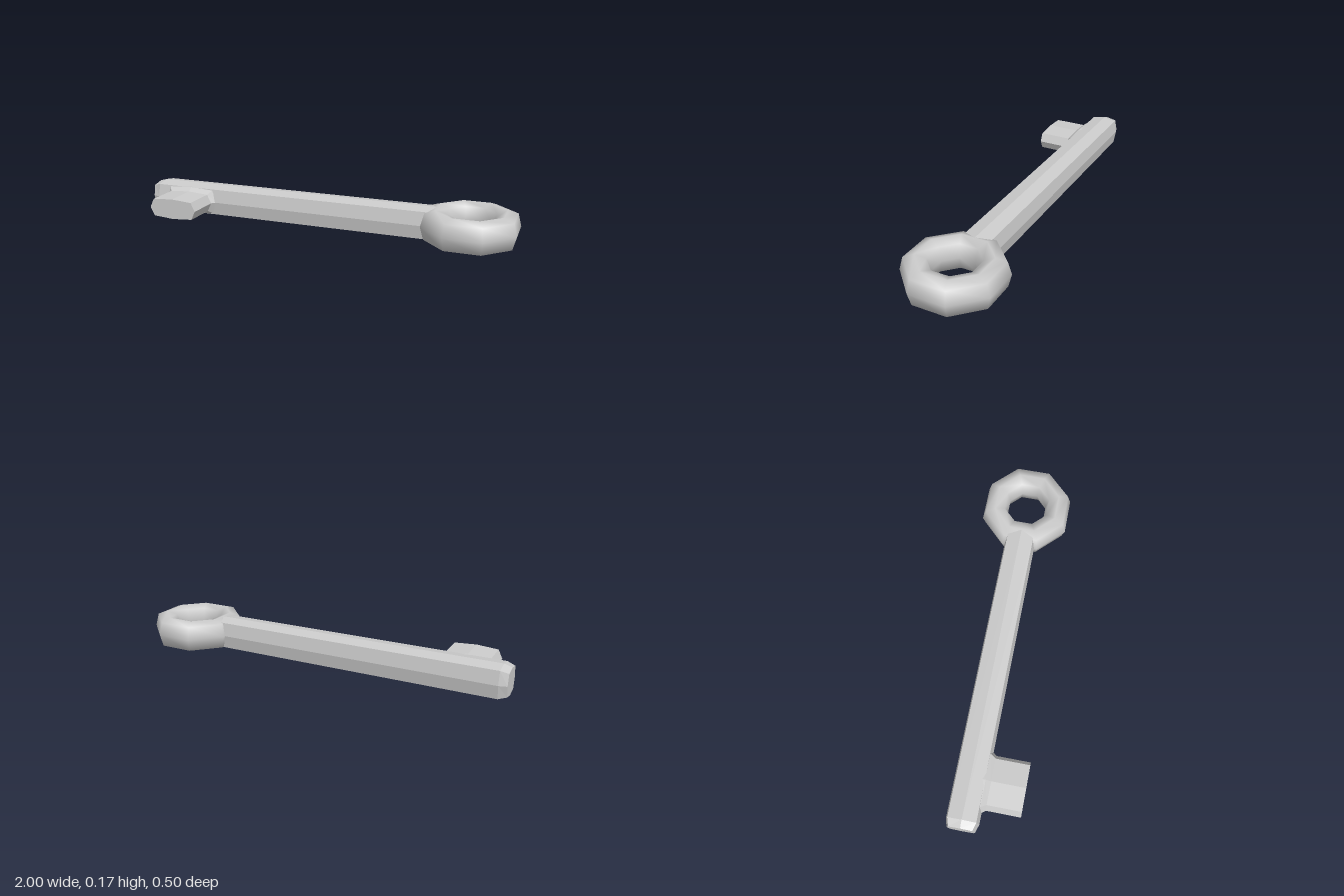
import * as THREE from 'three';
import { mergeVertices } from 'three/addons/utils/BufferGeometryUtils.js';

const MID_Y = 0.084;
const AXIS_Z = -0.022;

// Eight-sided outline, counter-clockwise: points on the axes (ax, ay) and at the corners (cx, cy)
function octagon(ax, ay, cx, cy) {
  return [[ax, 0], [cx, cy], [0, ay], [-cx, cy], [-ax, 0], [-cx, -cy], [0, -ay], [cx, -cy]];
}

// Joins outlines placed along z into a closed solid
function loft(sections) {
  const n = sections[0].outline.length;
  const positions = [];
  const index = [];
  for (const { z, outline } of sections) {
    for (const [x, y] of outline) positions.push(x, y, z);
  }
  for (let s = 0; s < sections.length - 1; s++) {
    for (let i = 0; i < n; i++) {
      const a = s * n + i;
      const b = s * n + (i + 1) % n;
      index.push(a, b, b + n, a, b + n, a + n);
    }
  }
  const last = (sections.length - 1) * n;
  for (let i = 1; i < n - 1; i++) {
    index.push(0, i + 1, i);
    index.push(last, last + i, last + i + 1);
  }
  const geometry = new THREE.BufferGeometry();
  geometry.setAttribute('position', new THREE.Float32BufferAttribute(positions, 3));
  geometry.setIndex(index);
  geometry.computeVertexNormals();
  return geometry;
}

export function createModel() {
  const key = new THREE.Group();
  key.name = 'key';
  const faceted = new THREE.MeshStandardMaterial({ color: 0xcccccc, flatShading: true });
  const smooth = new THREE.MeshStandardMaterial({ color: 0xcccccc });

  function add(name, geometry, material, x, y, z) {
    const mesh = new THREE.Mesh(geometry, material);
    mesh.name = name;
    mesh.position.set(x, y, z);
    key.add(mesh);
    return mesh;
  }

  // Shaft: a bar with slightly ridged sides and a bevelled free end
  const bar = octagon(0.082, 0.082, 0.07, 0.07);
  const shaft = loft([
    { z: -1, outline: octagon(0.07, 0.07, 0.058, 0.058) },
    { z: -0.96, outline: bar },
    { z: 0.61, outline: bar },
  ]);
  shaft.rotateY(Math.PI / 2);
  add('shaft', shaft, faceted, 0, MID_Y, AXIS_Z);

  // Bit: a flat tooth facing forward, flared where it meets the shaft
  const tooth = octagon(0.135, 0.054, 0.113, 0.046);
  const flare = octagon(0.155, 0.072, 0.13, 0.064);
  add('bit', loft([
    { z: 0, outline: flare },
    { z: 0.052, outline: flare },
    { z: 0.078, outline: tooth },
    { z: 0.25, outline: tooth },
  ]), faceted, -0.755, MID_Y, 0);

  // Bow: an eight-sided ring with a soft, rounded section
  const section = octagon(0.071, 0.084, 0.053, 0.066)
    .map(([x, y]) => new THREE.Vector2(0.179 + x, y));
  section.push(section[0].clone());
  const lathe = new THREE.LatheGeometry(section, 8, Math.PI / 8);
  lathe.deleteAttribute('normal');
  lathe.deleteAttribute('uv');
  const ring = mergeVertices(lathe, 1e-4);
  ring.computeVertexNormals();
  add('bow', ring, smooth, 0.769, MID_Y, AXIS_Z);

  return key;
}
